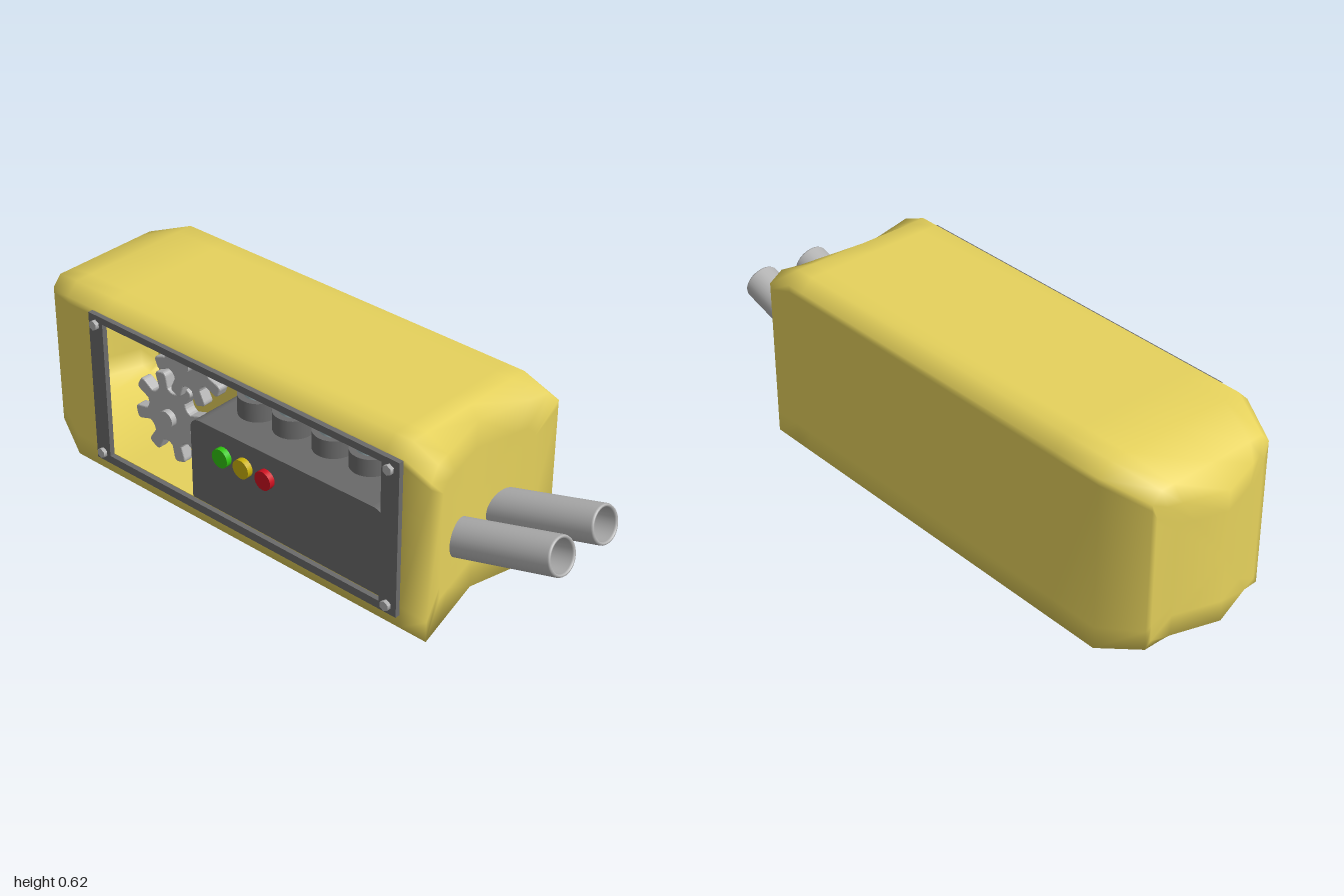
import * as THREE from 'three';

const mat = (color, side = THREE.FrontSide) => new THREE.MeshStandardMaterial({ color, side });
const yellow = mat(0xe6d25c, THREE.DoubleSide);
const dark = mat(0x6a6a6a);
const steel = mat(0xb4b4b4);
const glass = mat(0x9fb4b8);

function add(parent, name, geometry, material, x = 0, y = 0, z = 0) {
  const mesh = new THREE.Mesh(geometry, material);
  mesh.name = name;
  mesh.position.set(x, y, z);
  parent.add(mesh);
  return mesh;
}

// Cylinder lying along z
const disc = (r, depth, sides = 24) => new THREE.CylinderGeometry(r, r, depth, sides).rotateX(Math.PI / 2);

// Casing: one cross-section (z, y) swept through scaled sections, with a window in the front
function casingGeometry() {
  const H = 0.623, W = 0.29, zc = -0.015;
  const ring = [
    [W, 0], [W, 0.075], [W, 0.56], [W, 0.583],
    [0.25, H], [0.19, H], [0, H], [-0.19, H], [-0.25, H],
    [-W, 0.583], [-W, 0.56], [-W, 0.075], [-W, 0],
    [-0.21, 0], [0, 0], [0.21, 0],
  ];
  // x at the middle, fold (x per unit of |z|), half width, bottom, top
  const sections = [
    [-1, 0.32, 0.15, 0.14, 0.45],
    [-1, 0.32, 0.21, 0.07, 0.52],
    [-0.93, 0, 0.228, 0.047, 0.575],
    [-0.79, 0, W, 0, H],
    [-0.62, 0, W, 0, H],
    [0.505, 0, W, 0, H],
    [0.57, 0, W, 0, H],
    [0.6, 0.24, W, 0, 0.585],
    [0.6, 0.24, 0.21, 0.1, 0.49],
  ];
  const pos = [], index = [], n = ring.length, last = sections.length - 1;
  for (const [x, fold, hw, y0, y1] of sections) {
    for (const [rz, ry] of ring) {
      const z = rz * hw / W;
      pos.push(x + fold * Math.abs(z), y0 + (y1 - y0) * ry / H, z + zc);
    }
  }
  for (let i = 0; i < last; i++) {
    for (let j = 0; j < n; j++) {
      if (i === 4 && j === 1) continue; // window
      const k = (j + 1) % n;
      const a = i * n + j, b = i * n + k, c = a + n, d = b + n;
      index.push(a, c, d, a, d, b);
    }
  }
  // End faces, folded along the middle
  const left = pos.length / 3, right = left + 1;
  pos.push(-1, 0.295, zc, 0.6, 0.295, zc);
  for (let j = 0; j < n; j++) {
    const k = (j + 1) % n;
    index.push(left, j, k, right, last * n + k, last * n + j);
  }
  const g = new THREE.BufferGeometry();
  g.setAttribute('position', new THREE.Float32BufferAttribute(pos, 3));
  g.setIndex(index);
  g.computeVertexNormals();
  return g;
}

function rectPath(Type, x0, y0, x1, y1) {
  return new Type([[x0, y0], [x1, y0], [x1, y1], [x0, y1]].map(p => new THREE.Vector2(...p)));
}

// Eight blunt teeth with rounded valleys, plus a hub
function makeGear(name, radius, turn) {
  const gear = new THREE.Group();
  gear.name = name;
  const shape = new THREE.Shape();
  const teeth = 8, step = Math.PI * 2 / teeth, root = radius * 0.62;
  const at = (r, a) => [r * Math.cos(a + turn), r * Math.sin(a + turn)];
  for (let i = 0; i < teeth; i++) {
    const a = i * step;
    if (i === 0) shape.moveTo(...at(root * 1.08, a - 0.17));
    shape.lineTo(...at(radius * 0.93, a - 0.14));
    shape.quadraticCurveTo(...at(radius, a - 0.13), ...at(radius, a - 0.07));
    shape.lineTo(...at(radius, a + 0.07));
    shape.quadraticCurveTo(...at(radius, a + 0.13), ...at(radius * 0.93, a + 0.14));
    shape.lineTo(...at(root * 1.08, a + 0.17));
    shape.quadraticCurveTo(...at(root * 0.88, a + step / 2), ...at(root * 1.08, a + step - 0.17));
  }
  const plate = new THREE.ExtrudeGeometry(shape, {
    depth: 0.03, bevelEnabled: true, bevelSize: 0.004, bevelThickness: 0.004, bevelSegments: 2, curveSegments: 5,
  });
  add(gear, 'gearPlate', plate, steel, 0, 0, -0.015);
  add(gear, 'gearHub', disc(0.03, 0.08), steel);
  return gear;
}

export function createModel() {
  const model = new THREE.Group();
  model.name = 'engineUnit';

  add(model, 'casing', casingGeometry(), yellow);
  add(model, 'innerWall', new THREE.BoxGeometry(1.36, 0.61, 0.01), yellow, -0.1, 0.308, -0.09);

  // Window frame and corner bolts
  const frame = rectPath(THREE.Shape, -0.68, 0.045, 0.57, 0.578);
  frame.holes.push(rectPath(THREE.Path, -0.62, 0.073, 0.505, 0.555));
  add(model, 'windowFrame', new THREE.ExtrudeGeometry(frame, { depth: 0.018, bevelEnabled: false }), dark, 0, 0, 0.274);
  for (const x of [-0.65, 0.535]) {
    for (const y of [0.076, 0.545]) add(model, 'frameBolt', disc(0.017, 0.016, 6), steel, x, y, 0.297);
  }

  // Gears
  const upper = makeGear('upperGear', 0.145, Math.PI / 8);
  upper.position.set(-0.415, 0.435, 0.12);
  const lower = makeGear('lowerGear', 0.155, 0.25);
  lower.position.set(-0.52, 0.18, 0.1);
  model.add(upper, lower);

  // Engine block with rounded upper corners
  const block = new THREE.Shape();
  block.moveTo(-0.28, 0.03);
  block.lineTo(0.503, 0.03);
  block.lineTo(0.503, 0.31);
  block.quadraticCurveTo(0.495, 0.36, 0.45, 0.362);
  block.lineTo(-0.24, 0.352);
  block.quadraticCurveTo(-0.275, 0.35, -0.28, 0.32);
  block.closePath();
  add(model, 'engineBlock', new THREE.ExtrudeGeometry(block, { depth: 0.27, bevelEnabled: false }), dark, 0, 0, -0.01);

  // Pistons on the block
  for (const x of [-0.145, 0, 0.16, 0.305]) {
    add(model, 'pistonCollar', new THREE.CylinderGeometry(0.066, 0.066, 0.075, 28), dark, x, 0.382, 0.1);
    add(model, 'piston', new THREE.CylinderGeometry(0.045, 0.045, 0.2, 28), glass, x, 0.51, 0.1);
  }

  // Indicator buttons
  const buttons = [['greenButton', -0.14, 0x2fc40f], ['yellowButton', -0.053, 0xc9b008], ['redButton', 0.037, 0xcc1020]];
  for (const [name, x, color] of buttons) add(model, name, disc(0.032, 0.03), mat(color), x, 0.27, 0.265);

  // Exhaust pipes: thick-walled tubes tilted upwards
  const profile = [[0.061, 0], [0.061, 0.412], [0.058, 0.418], [0.053, 0.418], [0.05, 0.412], [0.05, 0.2], [0, 0.15]];
  const pipe = new THREE.LatheGeometry(profile.map(p => new THREE.Vector2(...p)), 32);
  for (const z of [0.08, -0.122]) {
    const mesh = add(model, 'exhaustPipe', pipe, mat(0xb4b4b4, THREE.DoubleSide), 0.582, 0.232, z);
    mesh.rotation.z = -Math.PI / 2 + 0.29;
  }
  return model;
}
